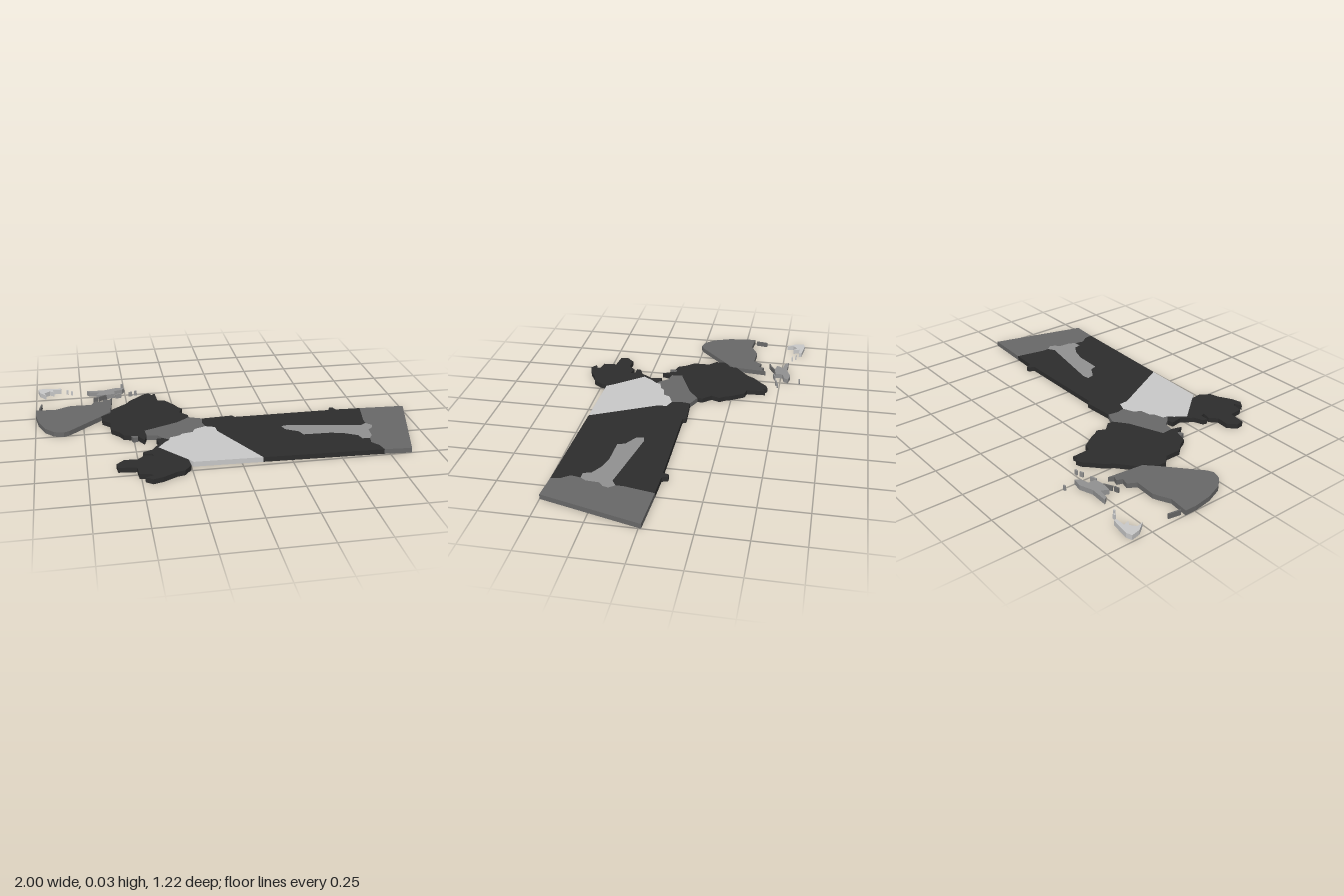
import * as THREE from 'three';

const THICK = 0.026;

function material(name, color) {
  const m = new THREE.MeshStandardMaterial({ color });
  m.name = name;
  return m;
}

// Extrudes a plan outline of [x, z] corners upward into a flat slab.
function slab(name, mat, outline) {
  const shape = new THREE.Shape(outline.map(([x, z]) => new THREE.Vector2(x, -z)));
  const geo = new THREE.ExtrudeGeometry(shape, { depth: THICK, bevelEnabled: false });
  geo.rotateX(-Math.PI / 2);
  const mesh = new THREE.Mesh(geo, mat);
  mesh.name = name;
  return mesh;
}

export function createModel() {
  const group = new THREE.Group();
  group.name = 'slabMap';
  const dark = material('charcoal', 0x2d2d2d);
  const mid = material('midGrey', 0x686868);
  const grey = material('softGrey', 0x919191);
  const light = material('paleGrey', 0xc8c8c8);

  // Borders shared by neighbouring slabs
  const tongueRight = [[0.725, 0.17], [0.75, 0.2], [0.74, 0.23], [0.715, 0.25], [0.71, 0.32], [0.69, 0.35]];
  const tongueRest = [[0.65, 0.35], [0.64, 0.31], [0.58, 0.275], [0.51, 0.255], [0.365, 0.25], [0.35, 0.21],
    [0.285, 0.17], [0.275, 0.13], [0.31, 0.123], [0.69, 0.193]];
  const endTop = [[0.755, -0.025], [0.74, 0.055], [0.725, 0.13]];
  const endBottom = [[0.68, 0.4], [0.71, 0.44], [0.72, 0.49]];
  const paleRight = [[-0.12, 0.06], [-0.07, 0.08], [-0.067, 0.13], [0.105, 0.47]];
  const paleTop = [[-0.325, 0.19], [-0.32, 0.165], [-0.27, 0.15], [-0.25, 0.13], [-0.195, 0.12], [-0.18, 0.085]];
  const paleLeft = [[-0.24, 0.46], [-0.26, 0.43], [-0.39, 0.27]];
  const neckTop = [[-0.435, 0.12], [-0.44, 0.06], [-0.26, -0.015], [-0.19, -0.07]];
  const neckRight = [[-0.12, -0.04], [-0.13, 0.015]];

  // Long panel: charcoal body, inlaid tongue, end and pale section
  group.add(slab('panelBody', dark, [
    ...neckRight.slice(0, 1), [0.045, -0.05], [0.055, -0.03], [0.43, -0.03], [0.58, -0.03],
    [0.59, -0.06], [0.61, -0.06], [0.62, -0.03], ...endTop,
    tongueRight[0], ...[...tongueRest].reverse(), tongueRight[5],
    ...endBottom, ...[...paleRight].reverse(), neckRight[1],
  ]));
  group.add(slab('panelTongue', grey, [...tongueRight, ...tongueRest]));
  group.add(slab('panelEnd', mid, [
    ...endTop, ...tongueRight, ...endBottom, [0.86, 0.5], [1, -0.013],
  ]));
  group.add(slab('paleSection', light, [...paleRight, ...paleLeft, [-0.35, 0.215], ...paleTop]));

  // Neck between the panel and the upper block
  group.add(slab('neck', mid, [
    ...neckTop, ...neckRight, paleRight[0], ...[...paleTop].reverse(), [-0.355, 0.165], [-0.38, 0.13],
  ]));

  // Ragged upper block
  group.add(slab('upperBlock', dark, [
    ...[...neckTop].reverse(), [-0.45, 0.175], [-0.48, 0.12], [-0.55, 0.1], [-0.57, 0.06], [-0.61, 0.015],
    [-0.61, -0.07], [-0.65, -0.11], [-0.65, -0.165], [-0.6, -0.2], [-0.6, -0.235], [-0.505, -0.315],
    [-0.485, -0.35], [-0.44, -0.39], [-0.4, -0.43], [-0.37, -0.44], [-0.355, -0.415], [-0.335, -0.43],
    [-0.33, -0.33], [-0.29, -0.32], [-0.245, -0.25], [-0.23, -0.215], [-0.21, -0.19], [-0.23, -0.145],
    [-0.19, -0.1],
  ]));
  group.add(slab('blockChip', mid, [[-0.515, 0.105], [-0.48, 0.1], [-0.48, 0.135], [-0.505, 0.14]]));

  // Ragged lower block
  group.add(slab('lowerBlock', dark, [
    paleLeft[2], paleLeft[1], [-0.255, 0.49], [-0.29, 0.54], [-0.33, 0.55], [-0.4, 0.59], [-0.45, 0.605],
    [-0.485, 0.58], [-0.445, 0.565], [-0.455, 0.55], [-0.51, 0.54], [-0.515, 0.47], [-0.605, 0.46],
    [-0.61, 0.42], [-0.57, 0.38], [-0.505, 0.385], [-0.47, 0.35], [-0.42, 0.36], [-0.43, 0.335],
    [-0.475, 0.335], [-0.47, 0.31], [-0.42, 0.29], [-0.4, 0.255], [-0.38, 0.23], [-0.39, 0.17],
    [-0.355, 0.165], [-0.325, 0.19], [-0.35, 0.215],
  ]));

  // Rounded fan with a ragged back edge
  group.add(slab('fan', mid, [
    [-1, -0.305], [-0.895, -0.295], [-0.835, -0.325], [-0.81, -0.335], [-0.7, -0.33], [-0.675, -0.375],
    [-0.635, -0.365], [-0.625, -0.395], [-0.595, -0.385], [-0.58, -0.41], [-0.6, -0.215], [-0.65, -0.165],
    [-0.825, -0.005], [-0.855, 0.01], [-0.905, -0.005], [-0.95, -0.055], [-0.985, -0.145], [-1, -0.24],
  ]));

  // Loose islands behind the fan
  group.add(slab('paleIsland', light, [
    [-0.99, -0.605], [-0.96, -0.615], [-0.86, -0.6], [-0.86, -0.585], [-0.91, -0.585], [-0.9, -0.55],
    [-0.925, -0.57], [-0.955, -0.545], [-0.945, -0.51], [-0.98, -0.555],
  ]));
  group.add(slab('greyIsland', grey, [
    [-0.715, -0.535], [-0.62, -0.53], [-0.55, -0.555], [-0.5, -0.545], [-0.515, -0.52], [-0.56, -0.51],
    [-0.56, -0.47], [-0.61, -0.46], [-0.665, -0.47], [-0.645, -0.505], [-0.7, -0.515],
  ]));

  // Thin crumbs: x, z, length, turn, material
  const crumbs = [
    [-0.975, -0.35, 0.065, 1.4, mid], [-0.63, -0.45, 0.05, 0.5, mid], [-0.67, -0.43, 0.025, 0.3, mid],
    [-0.54, -0.465, 0.035, 0.3, grey], [-0.47, -0.48, 0.02, 0.3, grey], [-0.44, -0.49, 0.015, 0, grey],
    [-0.51, -0.61, 0.015, 0, grey], [-0.825, -0.57, 0.012, 0, light], [-0.8, -0.55, 0.01, 0, light],
  ];
  for (const [x, z, length, turn, mat] of crumbs) {
    const crumb = new THREE.Mesh(new THREE.BoxGeometry(length, THICK, 0.008), mat);
    crumb.name = 'crumb';
    crumb.position.set(x, THICK / 2, z);
    crumb.rotation.y = turn;
    group.add(crumb);
  }
  return group;
}
